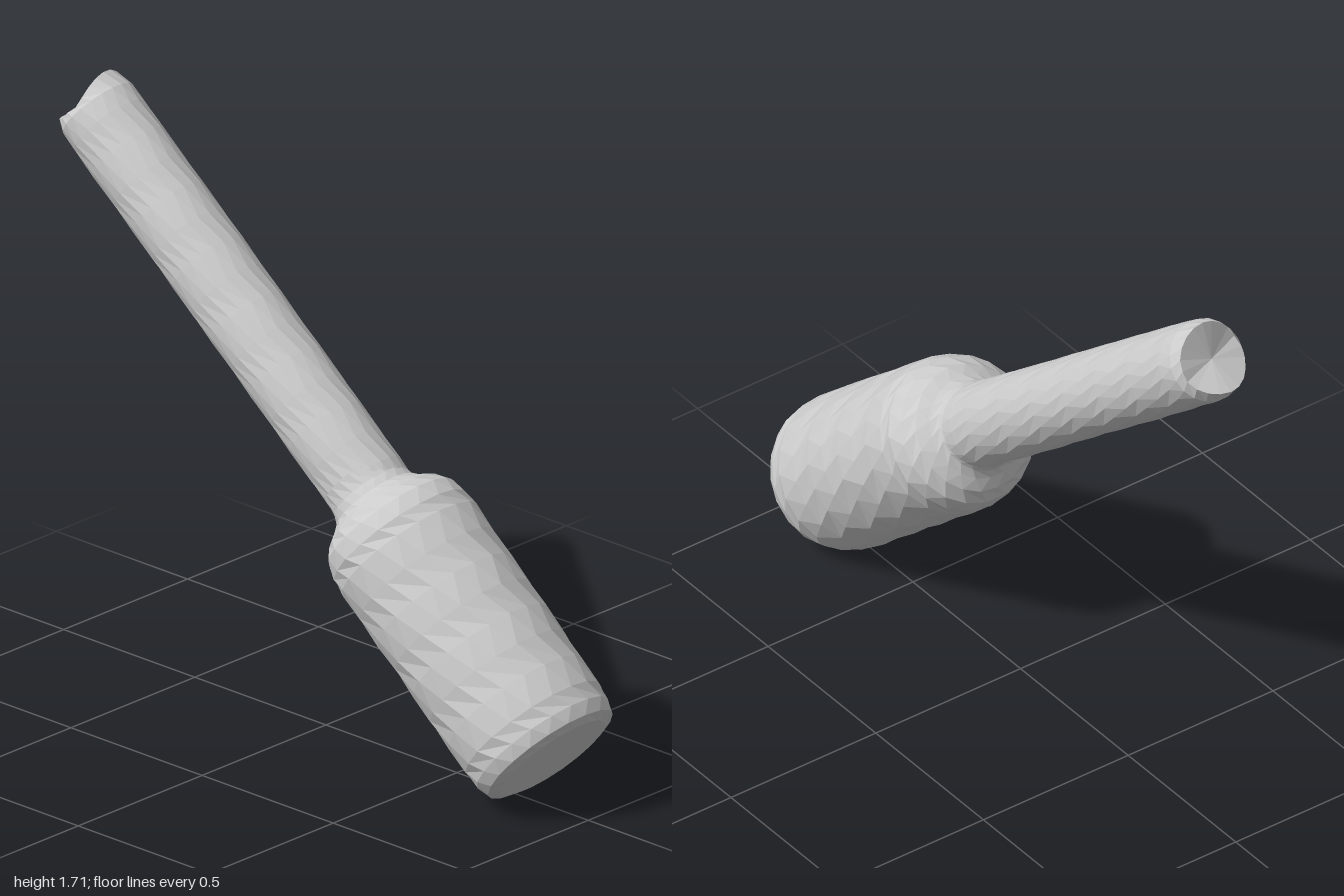
import * as THREE from 'three';

const SIDES = 20;

// Faceted turned part: profile is [radius, height] pairs along the part's axis
function turned(name, profile, material) {
  const points = profile.map(([r, h]) => new THREE.Vector2(r, h));
  const geometry = new THREE.LatheGeometry(points, SIDES);
  const p = geometry.attributes.position;
  for (let i = 0; i < p.count; i++) {
    // stagger alternate rings and add a slight hewn unevenness
    const ring = i % profile.length;
    const x = p.getX(i), y = p.getY(i), z = p.getZ(i);
    const turn = (ring % 2) * Math.PI / SIDES;
    const c = Math.cos(turn), s = Math.sin(turn);
    const k = 1 + 0.008 * Math.sin(47 * x + 31 * y) * Math.cos(39 * z - 23 * y);
    p.setXYZ(i, (x * c + z * s) * k, y, (z * c - x * s) * k);
  }
  const mesh = new THREE.Mesh(geometry, material);
  mesh.name = name;
  return mesh;
}

// Straight run of rings between two heights
function run(radius, from, to, count) {
  return Array.from({ length: count + 1 }, (_, i) => [radius, from + (to - from) * i / count]);
}

export function createModel() {
  const group = new THREE.Group();
  group.name = 'mallet';
  const material = new THREE.MeshStandardMaterial({ color: 0xcccccc, flatShading: true });

  // Head: flat striking face, straight barrel, rounded shoulder and neck
  const head = turned('head', [
    [0, 0], [0.175, 0], [0.207, 0.012], [0.219, 0.05],
    ...run(0.225, 0.1, 0.72, 7),
    [0.222, 0.765], [0.208, 0.815], [0.18, 0.85], [0.148, 0.872],
    [0.128, 0.892], [0.119, 0.92], [0.114, 0.97],
  ], material);
  head.position.set(0.865, 0.16, 0);
  head.rotation.z = 0.862;
  group.add(head);

  // Handle: long shaft with a shallow hollow in its uneven end
  const LENGTH = 1.425;
  const handle = turned('handle', [
    [0.117, -0.02], ...run(0.12, 0.07, LENGTH - 0.1, 13),
    [0.118, LENGTH - 0.04], [0.104, LENGTH], [0, LENGTH - 0.015],
  ], material);
  const p = handle.geometry.attributes.position;
  for (let i = 0; i < p.count; i++) {
    const x = p.getX(i), y = p.getY(i), z = p.getZ(i);
    // raise the end rim above and below, lower it at the sides
    if (y > LENGTH - 0.02) p.setY(i, y + 1.6 * (x * x - z * z) - 0.1 * z * (x > 0 ? 1 : 0));
  }
  handle.position.set(0.197, 0.733, -0.007);
  handle.rotation.z = 0.887;
  group.add(handle);

  return group;
}
